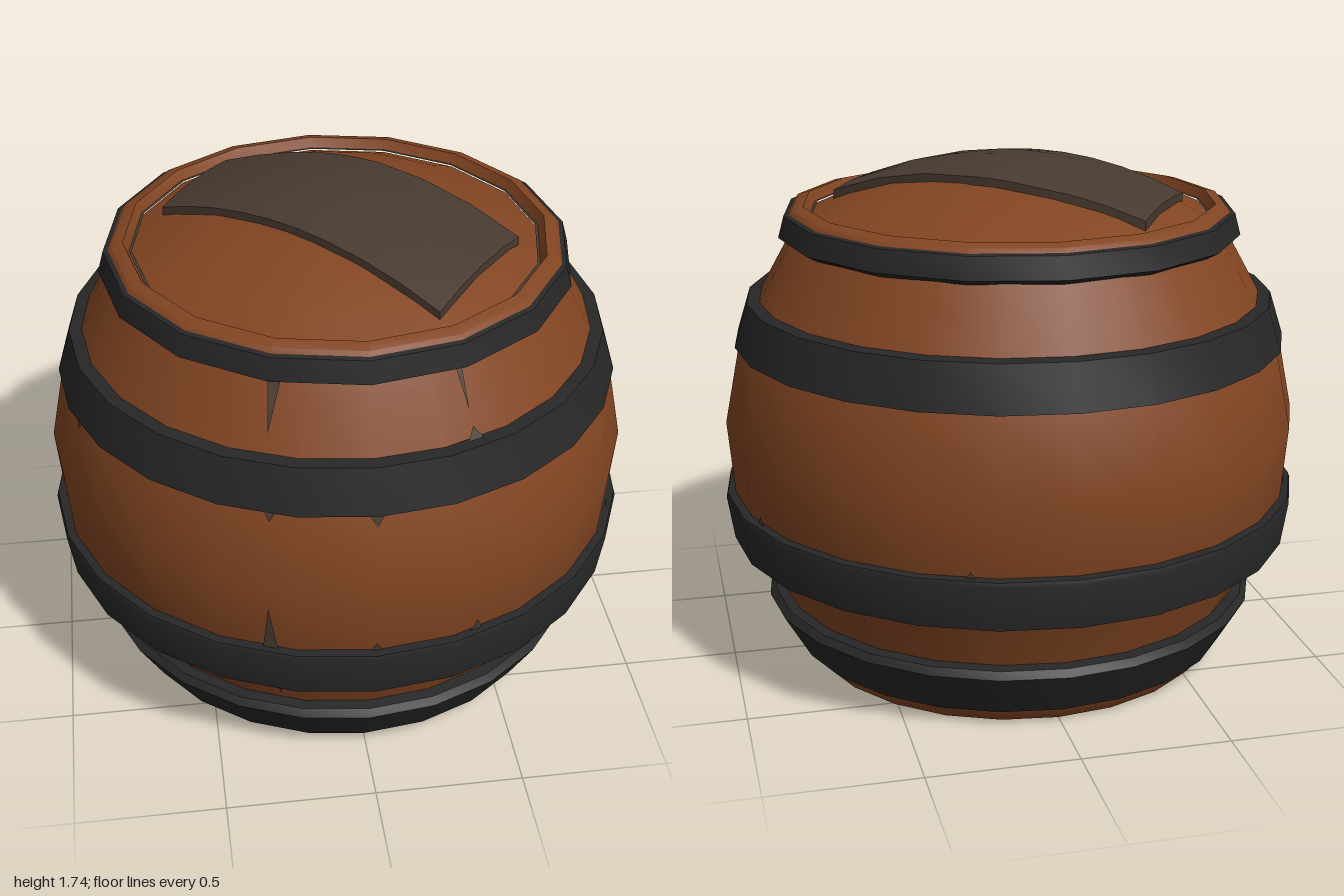
import * as THREE from 'three';
import { toCreasedNormals } from 'three/addons/utils/BufferGeometryUtils.js';

const wood = new THREE.MeshStandardMaterial({ color: 0x824522 });
wood.name = 'brown wood';
const iron = new THREE.MeshStandardMaterial({ color: 0x272727 });
iron.name = 'black iron';
const grey = new THREE.MeshStandardMaterial({ color: 0x483a31, side: THREE.DoubleSide });
grey.name = 'weathered grey wood';

// stave profile: [radius, height] from the base up
const STAVES = [
  [0, 0.005], [0.72, 0.005], [0.765, 0.06], [0.81, 0.25], [0.915, 0.44], [0.968, 0.62],
  [0.988, 0.87], [0.935, 1.13], [0.86, 1.28], [0.765, 1.45], [0.735, 1.5],
];

function lathe(name, profile, sides, material) {
  const points = profile.map(([r, y]) => new THREE.Vector2(r, y));
  const mesh = new THREE.Mesh(toCreasedNormals(new THREE.LatheGeometry(points, sides), 0.7), material);
  mesh.name = name;
  return mesh;
}

// radius of the staves at a height
function radiusAt(y) {
  for (let i = 2; i < STAVES.length; i++) {
    const [r0, y0] = STAVES[i - 1], [r1, y1] = STAVES[i];
    if (y <= y1) return r0 + (r1 - r0) * (y - y0) / (y1 - y0);
  }
  return STAVES[STAVES.length - 1][0];
}

const lidHeight = (r) => 1.725 - 0.36 * r * r;

// point at fraction t along a polyline of evenly spaced stations
function along(line, t) {
  const s = t * (line.length - 1);
  const i = Math.min(Math.floor(s), line.length - 2);
  return line[i].map((v, k) => v + (line[i + 1][k] - v) * (s - i));
}

// arched plank lying diagonally across the domed lid
function makePlank() {
  const sideA = [[-0.32, -0.53], [0, -0.36], [0.17, -0.23], [0.575, 0.17]];
  const sideB = [[-0.56, -0.18], [-0.31, 0.06], [-0.07, 0.29], [0.24, 0.58]];
  const geo = new THREE.BoxGeometry(1, 1, 1, 9, 1, 4);
  const p = geo.attributes.position;
  for (let i = 0; i < p.count; i++) {
    const a = along(sideA, p.getX(i) + 0.5), b = along(sideB, p.getX(i) + 0.5);
    const w = p.getZ(i) + 0.5;
    const x = a[0] + (b[0] - a[0]) * w, z = a[1] + (b[1] - a[1]) * w;
    p.setXYZ(i, x, lidHeight(Math.hypot(x, z)) + (p.getY(i) > 0 ? 0.025 : -0.03), z);
  }
  geo.computeVertexNormals();
  const mesh = new THREE.Mesh(geo, grey);
  mesh.name = 'lidPlank';
  return mesh;
}

// tapered crack on the staves, wide at yBase and pointed at yTip
function makeCrack([degrees, yBase, yTip, halfWidth]) {
  const rb = radiusAt(yBase) + 0.003, rt = radiusAt(yTip) + 0.003;
  const geo = new THREE.BufferGeometry();
  geo.setAttribute('position', new THREE.Float32BufferAttribute(
    [-halfWidth, yBase, rb, halfWidth, yBase, rb, 0, yTip, rt], 3));
  if (yTip < yBase) geo.setIndex([0, 2, 1]);
  geo.computeVertexNormals();
  const mesh = new THREE.Mesh(geo, grey);
  mesh.rotation.y = THREE.MathUtils.degToRad(degrees);
  mesh.name = 'crack';
  return mesh;
}

export function createModel() {
  const barrel = new THREE.Group();
  barrel.name = 'barrel';

  barrel.add(lathe('staves', STAVES, 24, wood));

  // iron hoops, each a closed outer skin over the staves
  barrel.add(lathe('baseHoop', [[0.75, 0.06], [0.775, 0.062], [0.865, 0.22], [0.845, 0.243], [0.79, 0.25]], 24, iron));
  barrel.add(lathe('lowerHoop', [[0.9, 0.442], [0.977, 0.447], [1, 0.6], [0.995, 0.615], [0.95, 0.62]], 24, iron));
  barrel.add(lathe('upperHoop', [[0.92, 1.13], [0.947, 1.132], [0.9, 1.28], [0.84, 1.286]], 24, iron));
  barrel.add(lathe('topHoop', [[0.7, 1.475], [0.75, 1.48], [0.786, 1.5], [0.766, 1.572], [0.73, 1.582]], 16, iron));

  // rim and domed lid
  barrel.add(lathe('rim', [[0.755, 1.57], [0.74, 1.59], [0.7, 1.6], [0.68, 1.565]], 16, wood));
  barrel.add(lathe('rimGroove', [[0.69, 1.567], [0.672, 1.567]], 16, grey));
  const dome = [0.675, 0.55, 0.4, 0.25, 0.12, 0].map((r) => [r, lidHeight(r)]);
  barrel.add(lathe('lid', dome, 16, wood));
  barrel.add(makePlank());

  // [angle, base height, tip height, half width]
  const cracks = [
    [-20, 0.61, 0.79, 0.025], [-20, 0.44, 0.3, 0.014], [-22, 1.48, 1.34, 0.02],
    [20, 0.61, 0.66, 0.025], [19, 0.445, 0.39, 0.015], [22, 1.28, 1.32, 0.03], [22, 1.48, 1.36, 0.01],
    [0, 0.61, 0.65, 0.025], [0, 1.135, 1.09, 0.025], [-20, 1.135, 1.1, 0.02],
    [70, 0.61, 0.64, 0.02], [110, 0.61, 0.65, 0.02], [160, 0.61, 0.64, 0.02],
    [200, 0.445, 0.39, 0.015], [250, 0.61, 0.65, 0.02], [290, 1.135, 1.1, 0.02],
  ];
  for (const c of cracks) barrel.add(makeCrack(c));

  return barrel;
}
